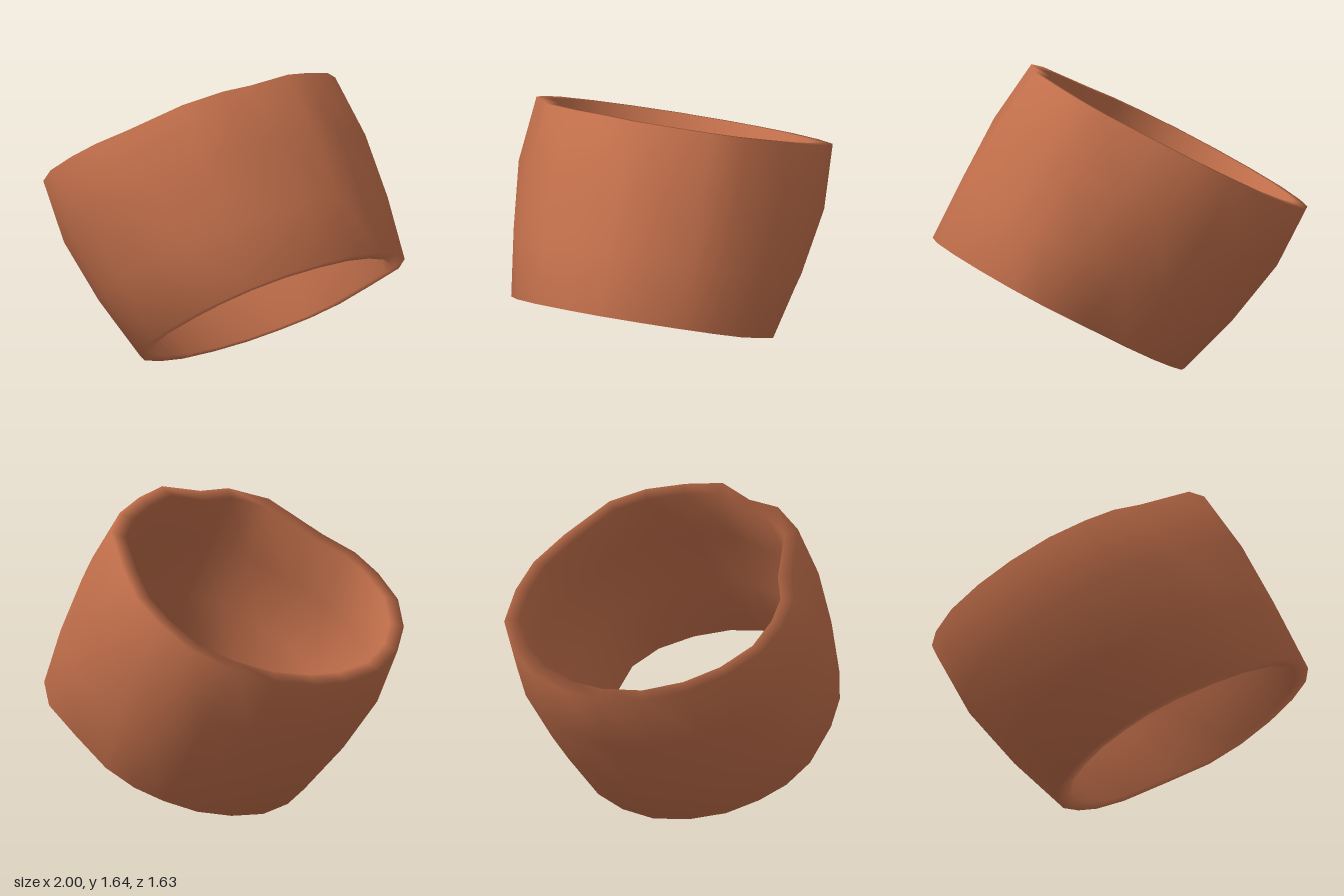
import * as THREE from 'three';

// Outer rim outlines as [x, z]; height follows from each tilted rim plane
const TOP = [[.47, 0], [.39, .2], [.37, .38], [.25, .56], [-.045, .68], [-.2, .77], [-.36, .79], [-.55, .76],
  [-.73, .64], [-.87, .47], [-.97, .25], [-1, 0], [-.98, -.2], [-.9, -.43], [-.77, -.61], [-.6, -.75],
  [-.39, -.79], [-.2, -.78], [0, -.7], [.25, -.56], [.36, -.4], [.43, -.2]];
const BOTTOM = [[1, 0], [.97, .2], [.89, .4], [.75, .55], [.58, .64], [.4, .68], [.16, .68], [0, .62],
  [-.12, .52], [-.23, .38], [-.3, .2], [-.33, 0], [-.3, -.2], [-.23, -.38], [-.12, -.52], [0, -.62],
  [.16, -.68], [.4, -.68], [.62, -.67], [.77, -.57], [.89, -.4], [.97, -.2]];
const topPoint = ([x, z]) => new THREE.Vector3(x, .84 + (x + 1) * .544, z);
const bottomPoint = ([x, z]) => new THREE.Vector3(x, (x + .33) * .556, z);
const WALL = .08;

// Closed wall section: down the outside, then up the inside
const OUTSIDE = [[0, 0], [.33, 1], [.67, .8], [1, 0]];
const SECTION = [
  ...OUTSIDE.map(([t, bulge]) => ({ t, bulge, inset: 0 })),
  ...OUTSIDE.slice().reverse().map(([t, bulge]) => ({ t, bulge, inset: WALL })),
];

function bandGeometry() {
  const n = TOP.length, rows = SECTION.length;
  const topCentre = topPoint([-.265, 0]), bottomCentre = bottomPoint([.335, 0]);
  const positions = [], index = [];
  SECTION.forEach(({ t, bulge, inset }, r) => {
    const centre = topCentre.clone().lerp(bottomCentre, t);
    for (let i = 0; i < n; i++) {
      const p = topPoint(TOP[i]).lerp(bottomPoint(BOTTOM[i]), t);
      const out = p.clone().sub(centre).normalize();
      // The raised side is straighter than the rest
      const swell = bulge * (.062 - .035 * Math.max(0, out.x));
      p.addScaledVector(out, swell - inset);
      positions.push(p.x, p.y, p.z);
      const j = (i + 1) % n, next = (r + 1) % rows;
      const a = r * n + i, b = r * n + j, c = next * n + i, d = next * n + j;
      index.push(a, b, c, b, d, c);
    }
  });
  const geometry = new THREE.BufferGeometry();
  geometry.setAttribute('position', new THREE.Float32BufferAttribute(positions, 3));
  geometry.setIndex(index);
  geometry.computeVertexNormals();
  return geometry;
}

export function createModel() {
  const group = new THREE.Group();
  group.name = 'tiltedBand';
  const clay = new THREE.MeshStandardMaterial({ color: 0xc06e4a });
  clay.name = 'terracotta';
  const band = new THREE.Mesh(bandGeometry(), clay);
  band.name = 'band';
  group.add(band);
  return group;
}
